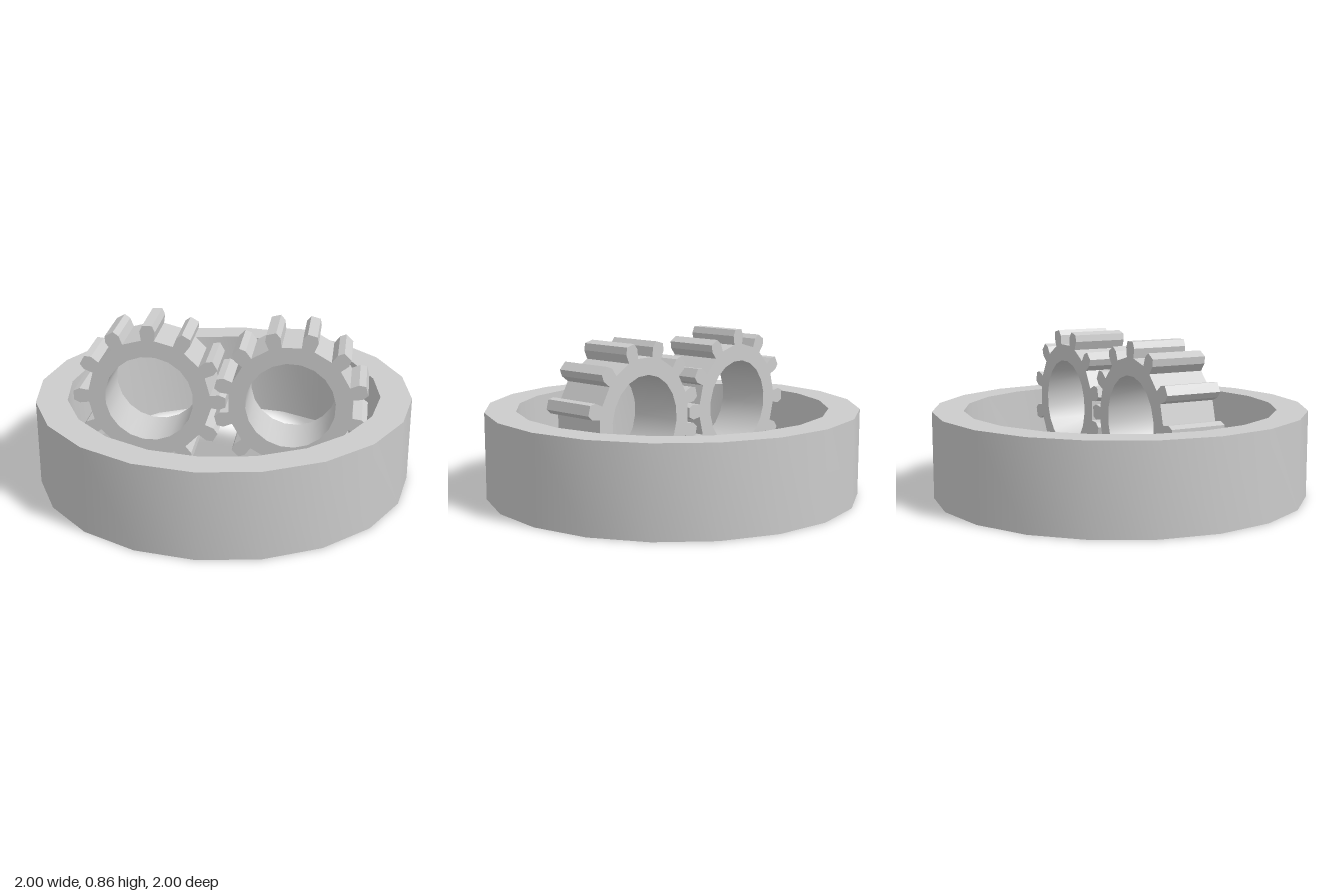
import * as THREE from 'three';
import { toCreasedNormals } from 'three/addons/utils/BufferGeometryUtils.js';

const material = new THREE.MeshStandardMaterial({ color: 0xcccccc });

// Points of a regular polygon
function polygon(radius, sides, offset = 0) {
  return Array.from({ length: sides }, (_, i) => {
    const a = offset + (i / sides) * Math.PI * 2;
    return new THREE.Vector2(radius * Math.cos(a), radius * Math.sin(a));
  });
}

// Extrude an outline with one hole, smooth on round walls and sharp elsewhere
function extrudeWithHole(outline, hole, depth) {
  const shape = new THREE.Shape(outline);
  shape.holes.push(new THREE.Path(hole));
  const geometry = new THREE.ExtrudeGeometry(shape, { depth, bevelEnabled: false });
  return toCreasedNormals(geometry, 0.34);
}

// Twelve-toothed gear with a wide bore, centred on its own axis
function createGear(name, x, turn) {
  const teeth = 12, depth = 0.296;
  // One tooth: radial distance, sideways offset
  const tooth = [[0.327, -0.034], [0.376, -0.041], [0.409, -0.026],
                 [0.409, 0.026], [0.376, 0.041], [0.327, 0.034]];
  const outline = [];
  for (let i = 0; i < teeth; i++) {
    const a = (i / teeth) * Math.PI * 2;
    for (const [r, t] of tooth) {
      outline.push(new THREE.Vector2(r, t).rotateAround(new THREE.Vector2(), a));
    }
  }
  const bore = polygon(0.238, 20, Math.PI / 20);
  const geometry = extrudeWithHole(outline, bore, depth);
  geometry.translate(0, 0, -depth / 2);
  const gear = new THREE.Mesh(geometry, material);
  gear.name = name;
  gear.position.set(x, 0.446, 0);
  gear.rotation.z = turn;
  return gear;
}

export function createModel() {
  const model = new THREE.Group();
  model.name = 'gearsInRing';

  // Flat-lying outer ring
  const ringGeometry = extrudeWithHole(polygon(1, 20), polygon(0.835, 20), 0.463);
  ringGeometry.rotateX(-Math.PI / 2);
  const ring = new THREE.Mesh(ringGeometry, material);
  ring.name = 'outerRing';
  model.add(ring);

  // Upright pair of meshing gears, one turned by half a tooth
  model.add(createGear('rightGear', -0.382, 0));
  model.add(createGear('leftGear', 0.369, Math.PI / 12));
  return model;
}
